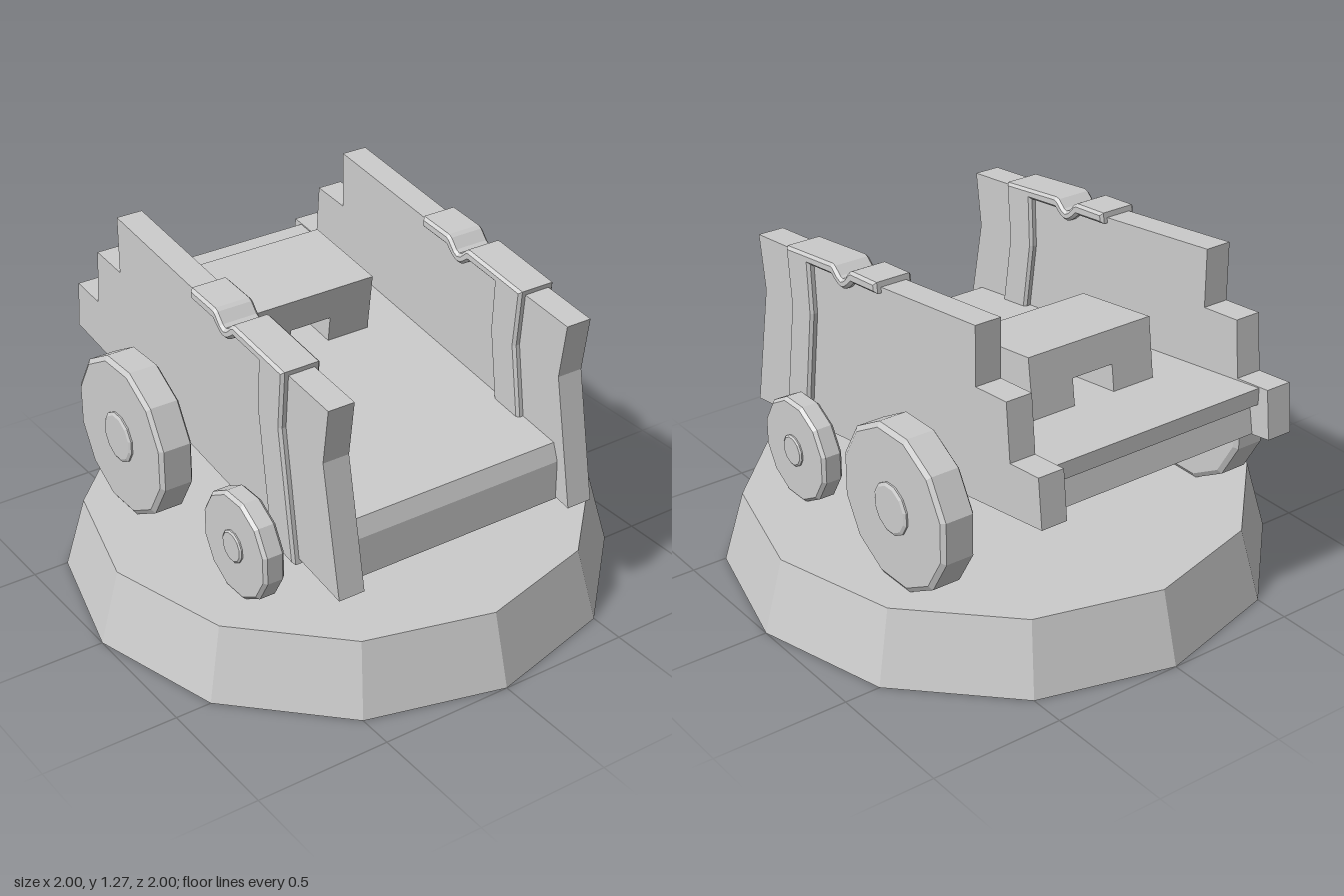
import * as THREE from 'three';

const material = new THREE.MeshStandardMaterial({ color: 0xcccccc, flatShading: true });
const shellMaterial = new THREE.MeshStandardMaterial({ color: 0xcccccc, flatShading: true, side: THREE.DoubleSide });

function addMesh(parent, name, geometry, mat = material) {
  const mesh = new THREE.Mesh(geometry, mat);
  mesh.name = name;
  parent.add(mesh);
  return mesh;
}

const toVectors = (points) => points.map(([a, b]) => new THREE.Vector2(a, b));

// Side profile of [z, y] points, extruded across x from x0 to x1 with an optional chamfer
function slab(points, x0, x1, chamfer = 0) {
  const geometry = new THREE.ExtrudeGeometry(new THREE.Shape(toVectors(points)), {
    depth: x1 - x0 - 2 * chamfer,
    bevelEnabled: chamfer > 0,
    bevelThickness: chamfer,
    bevelSize: chamfer,
    bevelOffset: -chamfer,
    bevelSegments: 1,
  });
  geometry.rotateY(-Math.PI / 2);
  geometry.translate(x1 - chamfer, 0, 0);
  return geometry;
}

// Smooth dip in a top edge, running from z0 down to z1
function dip(z0, y0, z1, y1, depth) {
  return Array.from({ length: 9 }, (_, i) => {
    const t = i / 8;
    return [z0 + (z1 - z0) * t, y0 + (y1 - y0) * t - depth * Math.sin(Math.PI * t) ** 2];
  });
}

// Twelve-sided wheel with bevelled rim and a raised hub on the outer face
function wheel(r, width, hubR, hubOut) {
  const h = width / 2;
  return new THREE.LatheGeometry(toVectors([
    [0, -h], [r * 0.94, -h], [r, -h + 0.012], [r, h - 0.012], [r * 0.94, h],
    [hubR, h], [hubR, h + hubOut * 0.5], [hubR * 0.88, h + hubOut], [0, h + hubOut],
  ]), 12, Math.PI / 12);
}

export function createModel() {
  const model = new THREE.Group();
  model.name = 'wheeledCarriage';

  // Twelve-sided plinth, hollow and open below
  addMesh(model, 'base', new THREE.LatheGeometry(toVectors([[1, 0], [0.925, 0.27], [0, 0.27]]), 12), shellMaterial);

  // Sloping floor with chamfered front edge and undercut back edge
  addMesh(model, 'floor', slab([
    [0.66, 0.432], [0.702, 0.445], [0.7, 0.595], [0.676, 0.66], [-0.875, 0.872],
    [-0.875, 0.81], [-0.835, 0.8], [-0.855, 0.69],
  ], -0.435, 0.435));

  // Stepped side boards with a dip in the top edge
  const sideProfile = [
    [0.77, 0.44], [0.68, 0.92], [0.71, 1.125], ...dip(0.2, 1.18, 0.075, 1.192, 0.045),
    [-0.59, 1.275], [-0.59, 1.06], [-0.75, 1.075], [-0.77, 0.865], [-0.915, 0.88], [-0.935, 0.7],
  ];
  // Strap that climbs the board and runs back along its top
  const strapProfile = [
    [0.54, 0.457], [0.47, 0.95], [0.49, 1.165], ...dip(0.2, 1.203, 0.08, 1.217, 0.042),
    [-0.065, 1.23], [-0.07, 1.19], ...dip(0.075, 1.175, 0.2, 1.162, -0).map(([z, y], i) =>
      [z, y - 0.036 * Math.sin((Math.PI * i) / 8)]),
    [0.345, 1.145], [0.335, 0.96], [0.4, 0.48],
  ];
  const rearWheel = wheel(0.301, 0.13, 0.095, 0.012);
  const frontWheel = wheel(0.198, 0.083, 0.06, 0.01);
  const rearAxle = new THREE.CylinderGeometry(0.045, 0.045, 0.1, 12);
  const frontAxle = new THREE.CylinderGeometry(0.032, 0.032, 0.1, 12);

  for (const [side, s] of [['left', 1], ['right', -1]]) {
    const span = (a, b) => (s > 0 ? [a, b] : [-b, -a]);
    addMesh(model, side + 'SideBoard', slab(sideProfile, ...span(0.43, 0.53)));
    addMesh(model, side + 'Strap', slab(strapProfile, ...span(0.405, 0.555), 0.01));

    // Wheels on short axle stubs
    for (const [name, geometry, x, y, z] of [
      ['RearWheel', rearWheel, 0.633, 0.56, -0.35],
      ['FrontWheel', frontWheel, 0.614, 0.458, 0.33],
      ['RearAxle', rearAxle, 0.55, 0.56, -0.35],
      ['FrontAxle', frontAxle, 0.55, 0.458, 0.33],
    ]) {
      const part = addMesh(model, side + name, geometry);
      part.position.set(s * x, y, z);
      part.rotation.z = -s * Math.PI / 2;
    }
  }

  // Block on the floor with a channel through its underside
  const block = new THREE.ExtrudeGeometry(new THREE.Shape(toVectors([
    [-0.257, -0.01], [-0.085, -0.01], [-0.085, 0.1], [0.083, 0.1],
    [0.083, -0.01], [0.257, -0.01], [0.257, 0.223], [-0.257, 0.223],
  ])), { depth: 0.355, bevelEnabled: false });
  block.translate(0, 0, -0.355);
  const support = addMesh(model, 'supportBlock', block);
  support.position.set(0, 0.777, -0.185);
  support.rotation.x = 0.134;

  return model;
}
